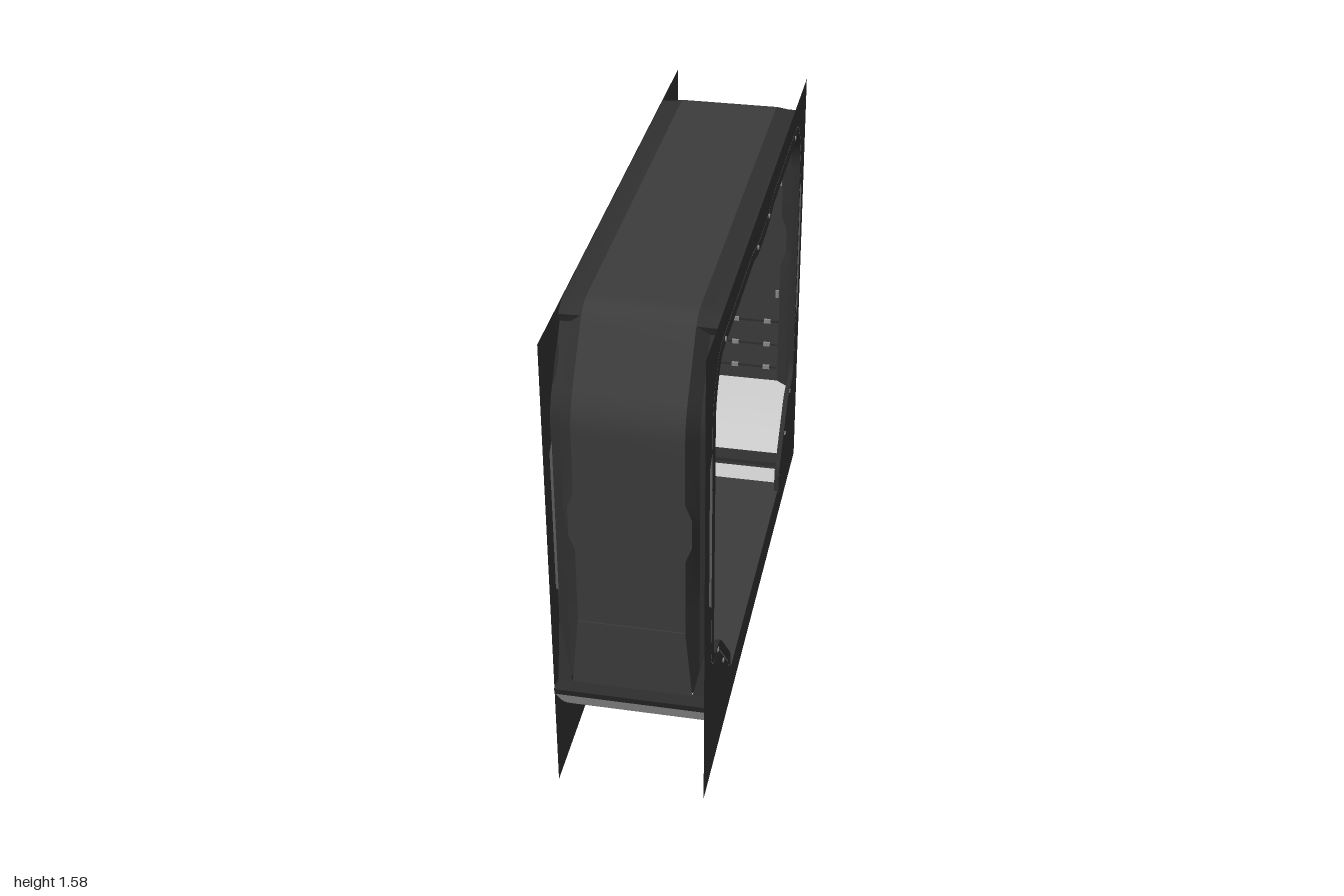
import * as THREE from 'three';
import { toCreasedNormals } from 'three/addons/utils/BufferGeometryUtils.js';

const mat = (color) => new THREE.MeshStandardMaterial({ color, side: THREE.DoubleSide });

// Polyline in (z, y) from [z, y, radius] corners, with rounded corners.
function rounded(corners) {
  const pts = corners.map((c) => new THREE.Vector2(c[0], c[1]));
  const out = [];
  pts.forEach((p, i) => {
    const r = corners[i][2] || 0;
    if (!r || i === 0 || i === pts.length - 1) { out.push(p); return; }
    const toward = (q) => p.clone().add(q.clone().sub(p).setLength(Math.min(r, p.distanceTo(q) * 0.48)));
    out.push(...new THREE.QuadraticBezierCurve(toward(pts[i - 1]), p, toward(pts[i + 1])).getPoints(6));
  });
  return out;
}

// Half path from the front foot to the crown, continued mirrored to the back foot.
const mirrored = (half) => [...half, ...half.slice().reverse().map((p) => new THREE.Vector2(-p.x, p.y))];

// Sweeps a section of [x, outward offset] points along a (z, y) path.
function sweep(name, path, section, material) {
  const pos = [], index = [];
  let cols = 0;
  path.forEach((p, i) => {
    const a = path[Math.max(i - 1, 0)], b = path[Math.min(i + 1, path.length - 1)];
    const t = b.clone().sub(a).normalize();
    const row = typeof section === 'function' ? section(p) : section;
    cols = row.length;
    for (const [x, d] of row) pos.push(x, p.y - t.x * d, p.x + t.y * d);
  });
  for (let i = 0; i < path.length - 1; i++) {
    for (let j = 0; j < cols - 1; j++) {
      const a = i * cols + j, b = a + cols;
      index.push(a, a + 1, b, b, a + 1, b + 1);
    }
  }
  const g = new THREE.BufferGeometry();
  g.setAttribute('position', new THREE.Float32BufferAttribute(pos, 3));
  g.setIndex(index);
  const mesh = new THREE.Mesh(toCreasedNormals(g.toNonIndexed(), 0.5), material);
  mesh.name = name;
  return mesh;
}

const line = (...pts) => pts.map((p) => new THREE.Vector2(p[0], p[1]));

export function createModel() {
  const model = new THREE.Group();
  const dark = mat(0x303030), panel = mat(0x3c3c3c), light = mat(0xf0f0f0), mid = mat(0x8c8c8c);

  const box = (parent, name, size, position, material) => {
    const m = new THREE.Mesh(new THREE.BoxGeometry(...size), material);
    m.name = name;
    m.position.set(...position);
    parent.add(m);
  };

  const opening = mirrored(rounded([
    [0.525, 0.12], [0.525, 0.21, 0.03], [0.72, 0.425, 0.04], [0.765, 0.44, 0.03], [0.845, 0.45, 0.06],
    [0.845, 1.355, 0.06], [0.765, 1.465, 0.045], [0.2, 1.465], [0.12, 1.446], [0.05, 1.442],
  ]));

  // Thin side plates with the opening cut out
  const plate = new THREE.Shape(line([-0.98, 0], [0.98, 0], [0.98, 1.575], [-0.98, 1.575]));
  plate.holes.push(new THREE.Path(opening));
  const plateGeo = new THREE.ShapeGeometry(plate).rotateY(-Math.PI / 2);
  const strip = new THREE.Shape(line([0.88, 0.67], [0.918, 0.705], [0.918, 1.185], [0.88, 1.22]));
  const stripGeo = new THREE.ShapeGeometry(strip).rotateY(-Math.PI / 2);
  // Raised rim sloping up to the edge of the opening, with a shallow inward lip
  const rim = [[0.23, 0.03], [0.235, 0.002], [0.234, 0], [0.218, 0], [0.216, 0.012], [0.229, 0.02]];
  const seam = [[0.2315, 0.029], [0.2315, 0.032]];
  for (const s of [-1, 1]) {
    const label = s > 0 ? 'left' : 'right';
    const side = new THREE.Mesh(plateGeo, dark);
    side.name = label + 'SidePlate';
    side.position.x = s * 0.23;
    model.add(side);
    const mirror = ([x, d]) => [s * x, d];
    model.add(sweep(label + 'Rim', opening, rim.map(mirror), dark));
    model.add(sweep(label + 'RimSeam', opening, seam.map(mirror), mid));
    // Pale strips on both faces of the plate, beside each post
    for (const f of [-1, 1]) {
      for (const x of [0.228, 0.232]) {
        const m = new THREE.Mesh(stripGeo, mid);
        m.name = 'sideStrip';
        m.scale.z = f;
        m.position.x = s * x;
        model.add(m);
      }
    }
  }

  // Skin, wider at mid height, with flanks recessed on the posts and nearly flush on top
  const skin = mirrored(rounded([
    [0.925, 0.36], [0.925, 0.6], [0.925, 0.86], [0.925, 0.91], [0.925, 1.01], [0.925, 1.06],
    [0.925, 1.33, 0.07], [0.74, 1.577, 0.05], [0.3, 1.577], [0.1, 1.577],
  ]));
  const halfWidth = (y) => (y > 0.9 && y < 1.02 ? 0.182 : 0.163);
  const flankDepth = (y) => (y > 1.54 ? -0.006 : -0.035);
  model.add(sweep('skin', skin, (p) => {
    const w = halfWidth(p.y);
    return [[-w, 0], [w, 0]];
  }, panel));
  for (const s of [-1, 1]) {
    model.add(sweep('flank', skin, (p) => [[s * halfWidth(p.y), 0], [s * 0.2, flankDepth(p.y) * 0.85],
      [s * 0.23, flankDepth(p.y)]], dark));
  }

  box(model, 'deck', [0.46, 0.006, 1.16], [0, 0.123, 0], panel);

  // Parts repeated at the front and back feet
  const stud = new THREE.CylinderGeometry(0.008, 0.008, 0.004, 12).rotateZ(Math.PI / 2);
  for (const f of [-1, 1]) {
    const end = new THREE.Group();
    end.name = f > 0 ? 'frontFoot' : 'backFoot';
    const full = [[-0.23, 0], [0.23, 0]];
    end.add(sweep('ramp', rounded([[0.77, 0.13], [0.885, 0.235, 0.12], [0.975, 0.345]]), full, light));
    end.add(sweep('rampLip', line([0.975, 0.345], [0.988, 0.375], [0.925, 0.366]), full, dark));
    end.add(sweep('footPanel', line([0.67, 0.126], [0.77, 0.13]), full, dark));
    end.add(sweep('paleThreshold', line([0.58, 0.123], [0.67, 0.126]), full, light));
    end.add(sweep('lowerPanel', line([0.932, 0.365], [0.929, 0.6], [0.924, 0.6]),
      (p) => [[p.y < 0.5 ? -0.185 : -0.163, 0], [p.y < 0.5 ? 0.185 : 0.163, 0]], panel));
    // Triangular gussets closing the flanks above the ramp
    for (const s of [-1, 1]) {
      const g = new THREE.BufferGeometry().setFromPoints([
        new THREE.Vector3(s * 0.185, 0.365, 0.932), new THREE.Vector3(s * 0.23, 0.365, 0.932),
        new THREE.Vector3(s * 0.23, 0.57, 0.89)]);
      g.computeVertexNormals();
      const gusset = new THREE.Mesh(g, dark);
      gusset.name = 'gusset';
      end.add(gusset);
    }
    // Sill bar, ribs and small clips on the inner faces
    box(end, 'sillBar', [0.44, 0.016, 0.016], [0, 0.136, 0.69], dark);
    for (const y of [0.42, 0.52, 0.62]) {
      box(end, 'postRib', [0.32, 0.008, 0.006], [0, y, 0.921], dark);
      for (const x of [-0.12, 0, 0.12]) box(end, 'clip', [0.025, 0.016, 0.008], [x, y, 0.92], mid);
    }
    for (const y of [0.74, 1.2]) {
      for (const x of [-0.155, 0.155]) box(end, 'clip', [0.012, 0.03, 0.008], [x, y, 0.92], mid);
    }
    // Studs on the rims
    for (const s of [-1, 1]) {
      for (const [z, y] of [[0.765, 0.42], [0.665, 0.295], [0.11, 1.468], [0.69, 1.477]]) {
        const m = new THREE.Mesh(stud, mid);
        m.name = 'stud';
        m.position.set(s * 0.234, y, z);
        end.add(m);
      }
    }
    end.scale.z = f;
    model.add(end);
  }
  return model;
}
